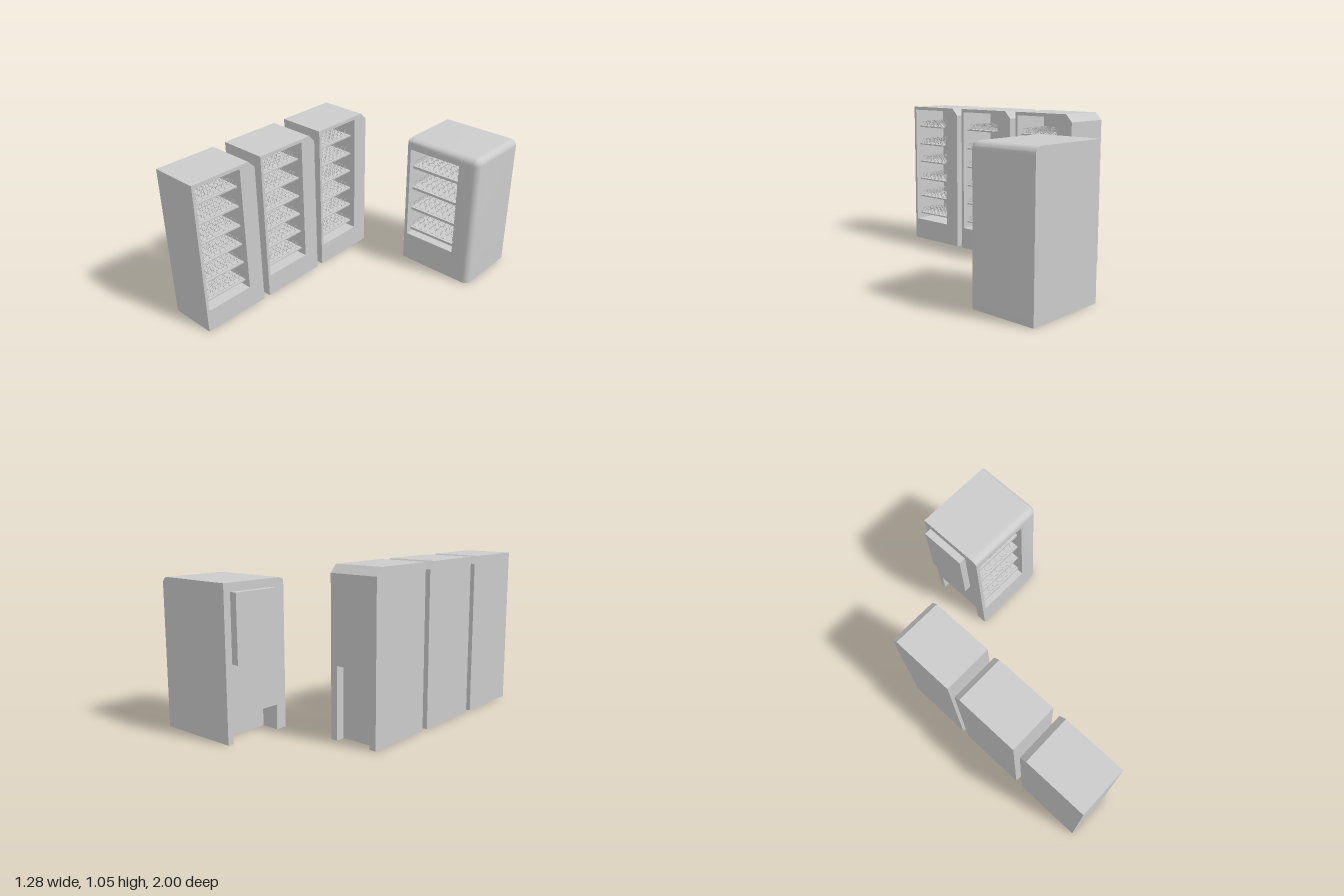
import * as THREE from 'three';
import { toCreasedNormals } from 'three/addons/utils/BufferGeometryUtils.js';

const material = new THREE.MeshStandardMaterial({ color: 0xcccccc });

function addMesh(parent, name, geometry, x = 0, y = 0, z = 0) {
  const mesh = new THREE.Mesh(geometry, material);
  mesh.name = name;
  mesh.position.set(x, y, z);
  parent.add(mesh);
  return mesh;
}

// Front outline of a cabinet, optionally with its side notch and window opening
function outline(m, notched, windowed) {
  const r = m.width / 2, h = m.height, n = m.notch;
  const s = new THREE.Shape();
  if (notched && n.side < 0) {
    s.moveTo(-r + n.depth, 0);
  } else {
    s.moveTo(-r, 0);
  }
  if (notched && n.side > 0) {
    s.lineTo(r - n.depth, 0);
    s.lineTo(r - n.depth, n.height);
    s.lineTo(r, n.height);
  } else {
    s.lineTo(r, 0);
  }
  if (m.round) {
    s.lineTo(r, h - m.round);
    s.absarc(r - m.round, h - m.round, m.round, 0, Math.PI / 2, false);
  } else {
    s.lineTo(r, h - 0.05);
    s.lineTo(r - 0.047, h);
  }
  s.lineTo(-r, h);
  if (notched && n.side < 0) {
    s.lineTo(-r, n.height);
    s.lineTo(-r + n.depth, n.height);
  }
  s.closePath();
  if (windowed) {
    const [x0, x1, y0, y1] = m.window;
    s.holes.push(new THREE.Path([
      new THREE.Vector2(x0, y0), new THREE.Vector2(x0, y1),
      new THREE.Vector2(x1, y1), new THREE.Vector2(x1, y0)]));
  }
  return s;
}

function slab(shape, depth, steps = 1) {
  return new THREE.ExtrudeGeometry(shape, { depth, steps, bevelEnabled: false, curveSegments: 6 });
}

// Rolls the top and right edges of the front slab over into the front face
function roundFront(geometry, m, depth, steps) {
  const p = geometry.attributes.position, r = m.round;
  const cx = m.width / 2 - r;
  for (let i = 0; i < p.count; i++) {
    const k = Math.round(p.getZ(i) / depth * steps);
    if (k === 0) continue;
    const a = (k - 1) / (steps - 1) * Math.PI / 2;
    const x = p.getX(i), y = p.getY(i), s = Math.cos(a);
    // the roll narrows towards the square side
    const cy = m.height - r + 0.02 * Math.max(0, (cx - x) / (cx + m.width / 2));
    if (x > cx) p.setX(i, cx + (x - cx) * s);
    if (y > cy) p.setY(i, cy + (y - cy) * s);
    p.setZ(i, depth - r + r * Math.sin(a));
  }
}

// Wire spiral running front to back
function coilGeometry(radius, length, turns) {
  const points = [];
  for (let i = 0; i <= turns * 10; i++) {
    const a = i / 10 * Math.PI * 2;
    points.push(new THREE.Vector3(Math.cos(a) * radius, Math.sin(a) * radius, i / (turns * 10) * length));
  }
  return new THREE.TubeGeometry(new THREE.CatmullRomCurve3(points), turns * 10, 0.0016, 3);
}

function vendingMachine(name, m) {
  const machine = new THREE.Group();
  machine.name = name;
  const [zBack, zFront] = m.layers;

  // Cabinet: solid back, notched middle, framed front
  addMesh(machine, 'cabinetBack', toCreasedNormals(slab(outline(m, false, false), zBack), 0.5));
  addMesh(machine, 'cabinetMiddle',
    toCreasedNormals(slab(outline(m, true, true), zFront - zBack), 0.5), 0, 0, zBack);
  const depth = m.depth - zFront, steps = m.round ? 8 : 1;
  const front = slab(outline(m, false, true), depth, steps);
  if (m.round) roundFront(front, m, depth, steps);
  addMesh(machine, 'cabinetFront', toCreasedNormals(front, 0.5), 0, 0, zFront);

  // Shelves with a row of eight coils on each
  const [x0, x1] = m.window;
  const shelfDepth = m.depth - 0.04 - zBack, pitch = (x1 - x0) / 8;
  const shelf = new THREE.BoxGeometry(x1 - x0, m.shelfThickness, shelfDepth);
  const radius = pitch / 2 - 0.002;
  const coil = coilGeometry(radius, shelfDepth - 0.01, 7);
  for (let i = 0; i < m.shelves; i++) {
    const y = m.shelfStart + i * m.shelfStep;
    addMesh(machine, 'shelf', shelf, (x0 + x1) / 2, y - m.shelfThickness / 2, zBack + shelfDepth / 2);
    for (let j = 0; j < 8; j++) {
      addMesh(machine, 'coil', coil, x0 + (j + 0.5) * pitch, y + radius, zBack + 0.005);
    }
  }
  return machine;
}

const tall = {
  width: 0.475, height: 1.05, depth: 0.335, layers: [0.044, 0.291],
  notch: { side: 1, depth: 0.06, height: 0.457 },
  window: [-0.2185, 0.12, 0.155, 1.027],
  shelves: 6, shelfStart: 0.204, shelfStep: 0.139, shelfThickness: 0.01
};

const wide = {
  width: 0.565, height: 0.953, depth: 0.47, layers: [0.04, 0.395], round: 0.045,
  notch: { side: -1, depth: 0.125, height: 0.16 },
  window: [-0.258, 0.136, 0.209, 0.879],
  shelves: 4, shelfStart: 0.247, shelfStep: 0.1643, shelfThickness: 0.018
};

export function createModel() {
  const model = new THREE.Group();
  model.name = 'vendingMachines';

  // Row of three tall machines facing sideways
  for (const z of [0.7625, 0.2375, -0.2865]) {
    const machine = vendingMachine('tallMachine', tall);
    machine.position.set(-0.645, 0, z);
    machine.rotation.y = Math.PI / 2;
    model.add(machine);
  }

  // Wide rounded machine facing forward, with a box on its side
  const machine = vendingMachine('wideMachine', wide);
  addMesh(machine, 'sideBox', new THREE.BoxGeometry(0.049, 0.422, 0.318), -0.307, 0.689, 0.207);
  machine.position.set(0.3545, 0, -1);
  model.add(machine);
  return model;
}
